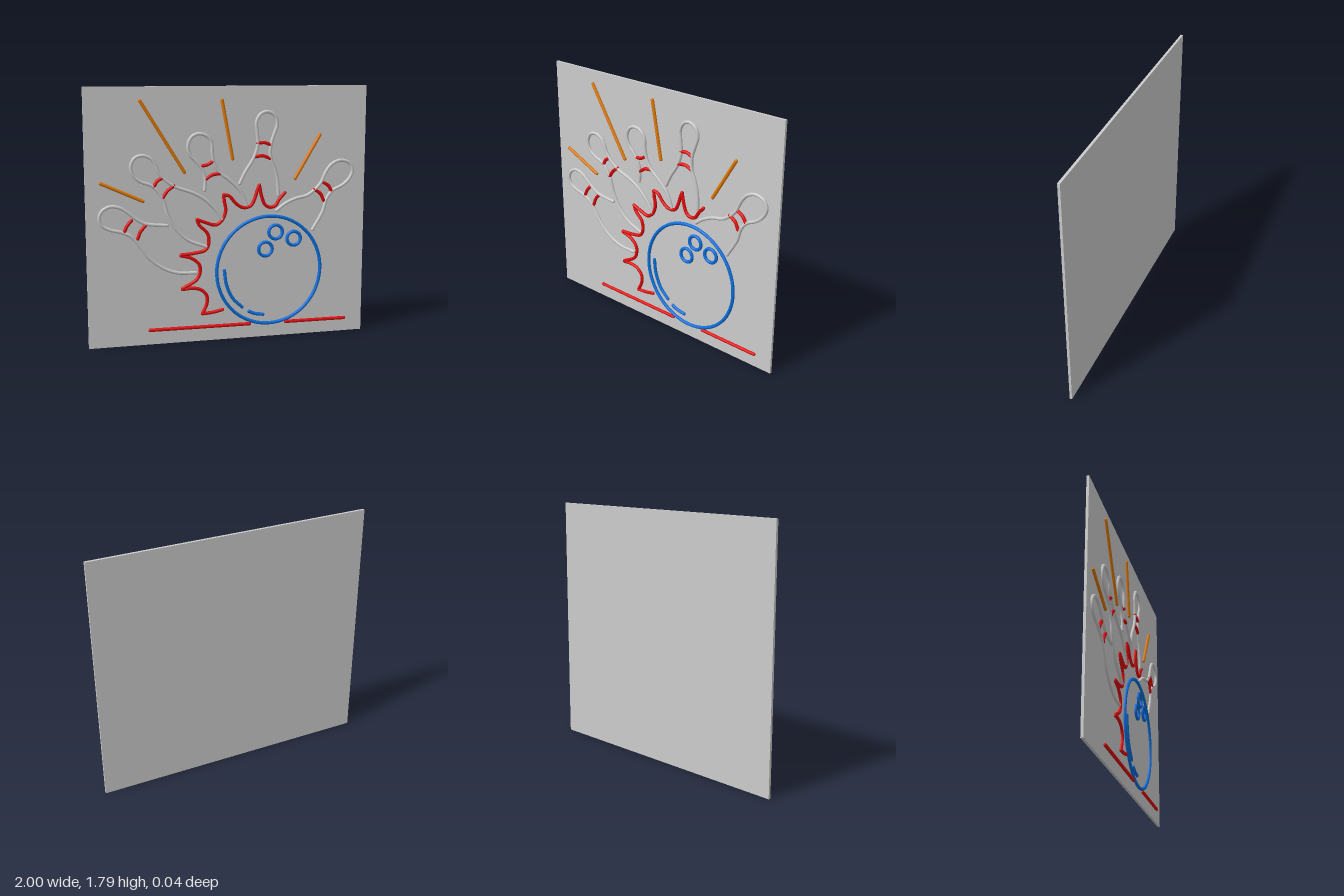
import * as THREE from 'three';
import { mergeGeometries } from 'three/addons/utils/BufferGeometryUtils.js';

const R = 0.012; // tube radius
const Z = 0.006; // tube centre, slightly sunk into the panel

const mat = (color) => new THREE.MeshStandardMaterial({ color, roughness: 0.6 });
const grey = mat(0xcccccc), red = mat(0xe00b0b), orange = mat(0xe07a08), blue = mat(0x0a6fdc);

// Round-ended tube through a flat list x, y, x, y ...
function strokeGeometry(xy) {
  const pts = [];
  for (let i = 0; i < xy.length; i += 2) pts.push(new THREE.Vector3(xy[i], xy[i + 1], Z));
  const curve = pts.length === 2
    ? new THREE.LineCurve3(pts[0], pts[1])
    : new THREE.CatmullRomCurve3(pts, false, 'centripetal');
  const parts = [new THREE.TubeGeometry(curve, pts.length === 2 ? 1 : pts.length * 6, R, 10, false)];
  for (const p of [pts[0], pts[pts.length - 1]]) {
    parts.push(new THREE.SphereGeometry(R, 10, 8).translate(p.x, p.y, p.z));
  }
  return mergeGeometries(parts);
}

function stroke(parent, name, material, xy) {
  const mesh = new THREE.Mesh(strokeGeometry(xy), material);
  mesh.name = name;
  parent.add(mesh);
}

function ring(parent, name, x, y, rx, ry = rx) {
  const curve = new THREE.CatmullRomCurve3(
    Array.from({ length: 24 }, (_, i) => {
      const a = (i / 24) * Math.PI * 2;
      return new THREE.Vector3(x + rx * Math.cos(a), y + ry * Math.sin(a), Z);
    }), true);
  const mesh = new THREE.Mesh(new THREE.TubeGeometry(curve, 72, R, 10, true), blue);
  mesh.name = name;
  parent.add(mesh);
}

function section(parent, name) {
  const g = new THREE.Group();
  g.name = name;
  parent.add(g);
  return g;
}

export function createModel() {
  const model = new THREE.Group();
  model.name = 'bowlingSign';

  // Backing panel
  const panel = new THREE.Mesh(new THREE.BoxGeometry(2, 1.795, 0.018), grey);
  panel.name = 'backPanel';
  panel.position.set(0, 0.8975, -0.009);
  model.add(panel);

  // Ball with finger holes and highlights
  const ball = section(model, 'ball');
  ring(ball, 'ballOutline', 0.288, 0.49, 0.383, 0.391);
  [[0.335, 0.765], [0.47, 0.713], [0.26, 0.645]].forEach(([x, y]) => ring(ball, 'fingerHole', x, y, 0.05));
  stroke(ball, 'longHighlight', blue, [-0.04, 0.505, -0.025, 0.4, 0.02, 0.3, 0.09, 0.23]);
  stroke(ball, 'shortHighlight', blue, [0.14, 0.195, 0.18, 0.177, 0.245, 0.166]);

  // Pins: an open outline and two neck bands each
  const pins = section(model, 'pins');
  const pin = (name, outline, upperBand, lowerBand) => {
    const g = section(pins, name);
    stroke(g, 'pinOutline', grey, outline);
    stroke(g, 'upperBand', red, upperBand);
    stroke(g, 'lowerBand', red, lowerBand);
  };
  pin('farRightPin',
    [-0.445, 0.845, -0.51, 0.85, -0.6, 0.865, -0.66, 0.9, -0.715, 0.945, -0.77, 0.98, -0.835, 0.99,
      -0.89, 0.96, -0.91, 0.91, -0.89, 0.86, -0.835, 0.83, -0.76, 0.81, -0.69, 0.775, -0.635, 0.705,
      -0.565, 0.615, -0.475, 0.545, -0.375, 0.507, -0.245, 0.5],
    [-0.69, 0.89, -0.72, 0.855, -0.74, 0.815],
    [-0.595, 0.85, -0.63, 0.81, -0.65, 0.76]);
  pin('rightPin',
    [-0.053, 0.87, -0.1, 0.94, -0.175, 1.015, -0.26, 1.065, -0.39, 1.115, -0.46, 1.165, -0.5, 1.215,
      -0.525, 1.275, -0.555, 1.312, -0.61, 1.332, -0.662, 1.315, -0.69, 1.26, -0.675, 1.2, -0.625, 1.155,
      -0.55, 1.125, -0.5, 1.075, -0.465, 1.01, -0.44, 0.92, -0.385, 0.82, -0.3, 0.737, -0.17, 0.683],
    [-0.475, 1.175, -0.51, 1.155, -0.535, 1.115],
    [-0.395, 1.12, -0.44, 1.085, -0.475, 1.035]);
  pin('middlePin',
    [-0.18, 1.08, -0.175, 1.145, -0.19, 1.215, -0.235, 1.28, -0.28, 1.33, -0.295, 1.39, -0.27, 1.45,
      -0.22, 1.472, -0.16, 1.455, -0.13, 1.41, -0.125, 1.335, -0.11, 1.265, -0.07, 1.2, 0.005, 1.14,
      0.07, 1.075, 0.1, 1.02, 0.12, 0.967],
    [-0.2, 1.25, -0.16, 1.258, -0.12, 1.28],
    [-0.175, 1.155, -0.13, 1.185, -0.07, 1.195]);
  pin('leftPin',
    [0.07, 1.12, 0.11, 1.2, 0.17, 1.295, 0.2, 1.385, 0.195, 1.475, 0.19, 1.545, 0.22, 1.6,
      0.27, 1.617, 0.322, 1.59, 0.34, 1.53, 0.32, 1.465, 0.295, 1.385, 0.295, 1.295, 0.325, 1.215,
      0.345, 1.135, 0.352, 1.03],
    [0.2, 1.4, 0.25, 1.402, 0.295, 1.385],
    [0.18, 1.305, 0.24, 1.31, 0.29, 1.29]);
  pin('farLeftPin',
    [0.34, 0.92, 0.405, 0.967, 0.48, 1, 0.565, 1.02, 0.63, 1.065, 0.67, 1.11, 0.705, 1.185,
      0.75, 1.24, 0.815, 1.265, 0.88, 1.245, 0.905, 1.19, 0.88, 1.13, 0.83, 1.085, 0.76, 1.05,
      0.715, 0.995, 0.685, 0.9, 0.61, 0.77],
    [0.685, 1.11, 0.725, 1.085, 0.75, 1.045],
    [0.62, 1.06, 0.665, 1.03, 0.69, 0.98]);

  // Impact burst: scallops meeting at sharp tips
  const burst = section(model, 'impactBurst');
  [
    [-0.055, 0.22, -0.13, 0.205, -0.2, 0.2],
    [-0.2, 0.2, -0.168, 0.27, -0.168, 0.33, -0.21, 0.375, -0.275, 0.39, -0.34, 0.385],
    [-0.34, 0.392, -0.24, 0.45, -0.215, 0.5, -0.22, 0.555, -0.275, 0.605, -0.35, 0.627],
    [-0.35, 0.632, -0.255, 0.64, -0.175, 0.66, -0.152, 0.705, -0.16, 0.775, -0.22, 0.84, -0.235, 0.878],
    [-0.235, 0.878, -0.175, 0.855, -0.1, 0.835, -0.053, 0.87, -0.03, 0.935, -0.04, 1, -0.045, 1.045],
    [-0.045, 1.045, -0.005, 1.035, 0.045, 0.98, 0.095, 0.95, 0.15, 0.96, 0.18, 1.01, 0.197, 1.065, 0.213, 1.105],
    [0.213, 1.105, 0.23, 1.025, 0.255, 0.965, 0.29, 0.945, 0.33, 0.955, 0.36, 1, 0.4, 1.045],
  ].forEach((xy) => stroke(burst, 'burstScallop', red, xy));

  // Floor line, broken by the ball
  stroke(model, 'floorLineRight', red, [-0.575, 0.105, 0.145, 0.102]);
  stroke(model, 'floorLineLeft', red, [0.415, 0.1, 0.865, 0.098]);

  // Rays
  const rays = section(model, 'rays');
  [
    [-0.895, 1.15, -0.61, 1.02],
    [-0.62, 1.7, -0.32, 1.21],
    [-0.055, 1.7, 0.02, 1.295],
    [0.655, 1.45, 0.475, 1.145],
  ].forEach((xy) => stroke(rays, 'ray', orange, xy));

  return model;
}
